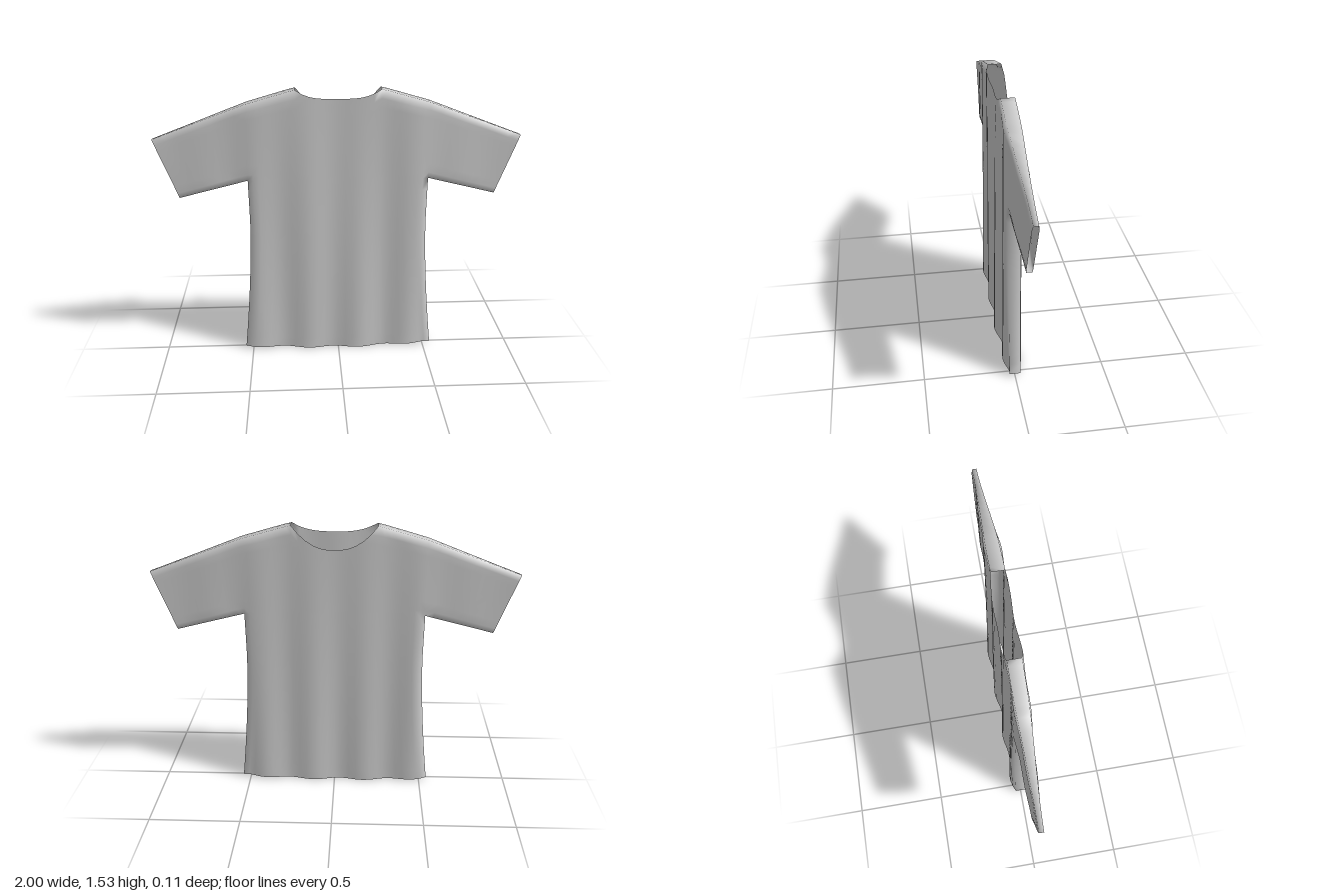
import * as THREE from 'three';
import { mergeVertices } from 'three/addons/utils/BufferGeometryUtils.js';

const NECK = 0.23, ARMPIT_X = 0.495, ARMPIT_Y = 1.04;
const lerp = THREE.MathUtils.lerp;
const smooth = THREE.MathUtils.smoothstep;

// Torso half width, hem to armpit
const halfWidth = y => ARMPIT_X + 0.05 * Math.pow(Math.max(0, 0.8 - y) / 0.8, 1.4) - 0.006 * Math.sin(Math.PI * Math.min(1, y / ARMPIT_Y));

// Upper outline: higher neckline on +z, lower scoop on -z, sloping shoulders
function topEdge(x, side) {
  const a = Math.abs(x);
  if (a < NECK - 1e-4) {
    const r = a / NECK;
    return side > 0 ? 1.486 + 0.049 * Math.pow(r, 3.2) : 1.405 + 0.13 * Math.pow(r, 2.3);
  }
  return a < 0.26 ? lerp(1.535, 1.528, (a - NECK) / 0.03) : lerp(1.528, 1.461, (a - 0.26) / (ARMPIT_X - 0.26));
}

// Cloth depth with vertical folds that deepen towards the hem
function place(x, y, side, seam) {
  const a = Math.abs(x);
  const half = 0.043 - 0.028 * smooth(a, 0.3, 1);
  const centre = -0.005 * smooth(a, 0.5, 1);
  const amp = (0.003 + 0.009 * (1 - y / 1.53)) * (1 - 0.7 * smooth(a, 0.45, 0.8));
  const fold = amp * Math.cos((x - 0.12) * Math.PI * 2 / 0.29) + 0.003 * Math.sin(x * 9 + y * 2 + side) * (1 - smooth(a, 0.5, 0.9));
  return [x, y, centre + side * (seam ? half * 0.85 : half + fold)];
}

// Column and row spacing, tighter next to the seams
const halfCols = [];
for (let i = 0; i <= 6; i++) halfCols.push(i / 6 * NECK / ARMPIT_X);
halfCols.push(0.53, 0.6, 0.67, 0.74, 0.81, 0.88, 0.94, 1);
const columns = [...halfCols.slice(1).reverse().map(t => -t), ...halfCols];
const lowRows = Array.from({ length: 17 }, (_, i) => i / 16);
const highRows = [0, 0.08, 0.2, 0.35, 0.5, 0.65, 0.8, 0.9, 1];
const sleeveCols = Array.from({ length: 9 }, (_, i) => i / 8);

// Each part maps (u, v, side) to a point of the cloth
function lowerBody(t, v, side) {
  const y = lerp(0.004 + 0.016 * t * t, ARMPIT_Y, v);
  return place(t * halfWidth(y), y, side, Math.abs(t) === 1);
}
function upperBody(t, v, side) {
  const x = t * ARMPIT_X;
  const seam = (v === 1 && Math.abs(x) > NECK - 1e-4) || (v === 0 && Math.abs(t) === 1);
  return place(x, lerp(ARMPIT_Y, topEdge(x, side), v), side, seam);
}
const sleeve = dir => (u, v, side) => {
  const x = lerp(ARMPIT_X, lerp(0.872, 1, v), u);
  const y = lerp(lerp(ARMPIT_Y, topEdge(ARMPIT_X, side), v), lerp(0.94, 1.27, v), u);
  return place(dir * x, y, side, v === 0 || v === 1);
};

function shirtGeometry() {
  const data = [];
  const quad = (a, b, c, d, flip) => {
    const order = flip ? [a, c, b, a, d, c] : [a, b, c, a, c, d];
    order.forEach(p => data.push(...p));
  };
  // Front and back cloth of one part
  const panels = (fn, us, vs, mirrored) => {
    for (const side of [1, -1])
      for (let i = 0; i < us.length - 1; i++)
        for (let j = 0; j < vs.length - 1; j++)
          quad(fn(us[i], vs[j], side), fn(us[i + 1], vs[j], side),
            fn(us[i + 1], vs[j + 1], side), fn(us[i], vs[j + 1], side), (side < 0) !== mirrored);
  };
  // Strip that joins front and back along a seam
  const seam = (fn, params, flip) => {
    for (let i = 0; i < params.length - 1; i++) {
      const p = params[i], q = params[i + 1];
      quad(fn(...p, 1), fn(...p, -1), fn(...q, -1), fn(...q, 1), flip);
    }
  };

  panels(lowerBody, columns, lowRows, false);
  panels(upperBody, columns, highRows, false);
  const shoulder = halfCols.slice(6);
  for (const dir of [1, -1]) {
    const arm = sleeve(dir), flip = dir < 0;
    panels(arm, sleeveCols, highRows, flip);
    seam(lowerBody, lowRows.map(v => [dir, v]), flip);
    seam(arm, sleeveCols.map(u => [u, 0]), flip);
    seam(arm, sleeveCols.map(u => [u, 1]), !flip);
    seam(upperBody, shoulder.map(t => [dir * t, 1]), !flip);
  }

  const geometry = new THREE.BufferGeometry();
  geometry.setAttribute('position', new THREE.Float32BufferAttribute(data, 3));
  const merged = mergeVertices(geometry, 1e-4);
  merged.computeVertexNormals();
  return merged;
}

export function createModel() {
  const cloth = new THREE.MeshStandardMaterial({ color: 0xcccccc, side: THREE.DoubleSide });
  cloth.name = 'light grey cloth';
  const shirt = new THREE.Mesh(shirtGeometry(), cloth);
  shirt.name = 'shirt';
  const group = new THREE.Group();
  group.name = 'shortSleevedShirt';
  group.add(shirt);
  return group;
}
